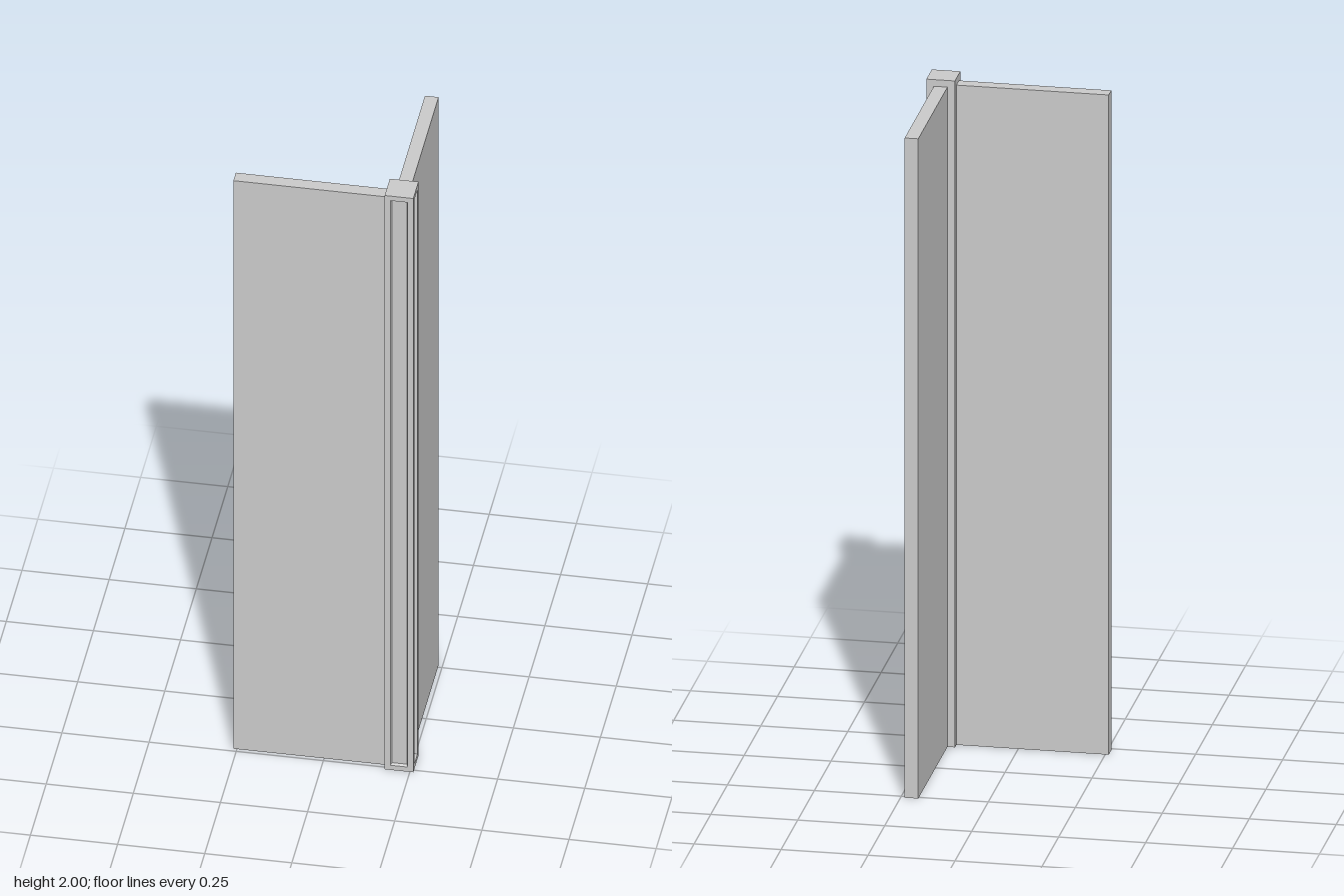
import * as THREE from 'three';
import { mergeGeometries } from 'three/addons/utils/BufferGeometryUtils.js';

const POST = 0.082, HEIGHT = 2, CENTRE = 0.219;

// Post face made of nested rectangles [inset, depth], the last one closed
function faceGeometry(w, h, rings) {
  const pos = [];
  const corners = ([inset, depth]) => {
    const x = w / 2 - inset, y = h / 2 - inset;
    return [[-x, -y, -depth], [x, -y, -depth], [x, y, -depth], [-x, y, -depth]];
  };
  const quad = (a, b, c, d) => pos.push(...a, ...b, ...c, ...a, ...c, ...d);
  const loops = rings.map(corners);
  for (let k = 0; k + 1 < loops.length; k++) {
    for (let i = 0; i < 4; i++) {
      const j = (i + 1) % 4;
      quad(loops[k][i], loops[k][j], loops[k + 1][j], loops[k + 1][i]);
    }
  }
  quad(...loops[loops.length - 1]);
  const g = new THREE.BufferGeometry();
  g.setAttribute('position', new THREE.Float32BufferAttribute(pos, 3));
  g.computeVertexNormals();
  return g;
}

// Square post with recessed fields on its two outer faces
function postGeometry() {
  const plain = [[0, 0]];
  const recessed = [[0, 0], [0.016, 0], [0.02, 0.008]];
  const parts = [recessed, recessed, plain, plain].map((rings, i) =>
    faceGeometry(POST, HEIGHT, rings).translate(0, 0, POST / 2).rotateY(i * Math.PI / 2));
  for (const s of [1, -1]) {
    parts.push(faceGeometry(POST, POST, plain).translate(0, 0, HEIGHT / 2).rotateX(-s * Math.PI / 2));
  }
  return mergeGeometries(parts);
}

export function createModel() {
  const group = new THREE.Group();
  const material = new THREE.MeshStandardMaterial({ color: 0xcccccc });
  const add = (name, geometry, x, y, z) => {
    const mesh = new THREE.Mesh(geometry, material);
    mesh.name = name;
    mesh.position.set(x, y, z);
    group.add(mesh);
  };

  add('cornerPost', postGeometry(), CENTRE, HEIGHT / 2, CENTRE);

  // Two wall panels meeting the post at a right angle
  const length = 0.438, thick = 0.039, tall = 1.98;
  const mid = -0.26 + length / 2;
  add('frontPanel', new THREE.BoxGeometry(length, tall, thick), mid, tall / 2, CENTRE);
  add('sidePanel', new THREE.BoxGeometry(thick, tall, length), CENTRE, tall / 2, mid);
  return group;
}
